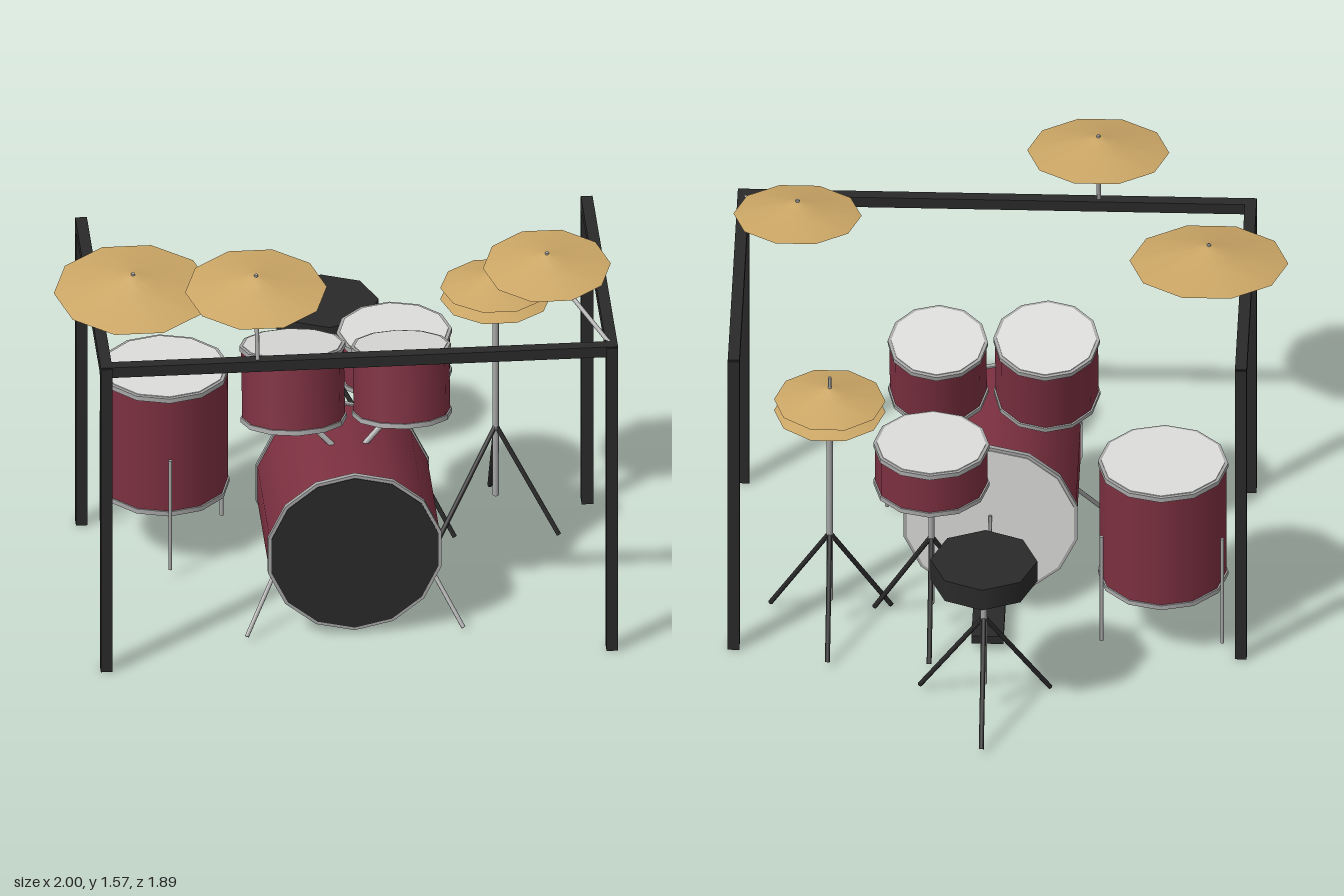
import * as THREE from 'three';

const mat = (name, color, side = THREE.FrontSide) => {
  const m = new THREE.MeshStandardMaterial({ color, side });
  m.name = name;
  return m;
};
const red = mat('burgundyShell', 0x7c3040);
const black = mat('black', 0x2a2a2a);
const white = mat('drumSkin', 0xdcdcda);
const chrome = mat('chrome', 0xa8a8a8);
const brass = mat('brass', 0xcca766, THREE.DoubleSide);

const V = (x, y, z) => new THREE.Vector3(x, y, z);

function add(parent, name, geometry, material, x = 0, y = 0, z = 0) {
  const m = new THREE.Mesh(geometry, material);
  m.name = name;
  m.position.set(x, y, z);
  parent.add(m);
  return m;
}

function group(parent, name, x = 0, y = 0, z = 0) {
  const g = new THREE.Group();
  g.name = name;
  g.position.set(x, y, z);
  parent.add(g);
  return g;
}

// Straight round bar between two points
function rod(parent, name, a, b, r, material) {
  const m = add(parent, name, new THREE.CylinderGeometry(r, r, a.distanceTo(b), 8), material);
  m.position.copy(a).lerp(b, 0.5);
  m.quaternion.setFromUnitVectors(V(0, 1, 0), b.clone().sub(a).normalize());
  return m;
}

// Upright drum about its own centre: shell, two hoops and two skins
function drum(parent, name, r, h, sides, topSkin, bottomSkin) {
  const g = group(parent, name);
  const hoop = 0.018;
  add(g, 'shell', new THREE.CylinderGeometry(r, r, h - hoop, sides), red);
  for (const s of [1, -1]) {
    add(g, 'hoop', new THREE.CylinderGeometry(r + 0.006, r + 0.006, hoop, sides), chrome, 0, s * (h - hoop) / 2, 0);
    add(g, 'skin', new THREE.CylinderGeometry(r - 0.006, r - 0.006, 0.006, sides),
      s > 0 ? topSkin : bottomSkin, 0, s * h / 2, 0);
  }
  return g;
}

// Ten-sided cymbal with a raised bell; the origin is at the rim plane
function cymbal(parent, name, r, h, tilt, x, y, z) {
  const g = group(parent, name, x, y, z);
  const profile = [[r, 0], [r * 0.36, h * 0.56], [r * 0.1, h * 0.93], [0.001, h]];
  const geo = new THREE.LatheGeometry(profile.map(p => new THREE.Vector2(...p)), 10);
  geo.rotateY(Math.PI / 2);
  add(g, 'plate', geo, brass);
  add(g, 'nut', new THREE.CylinderGeometry(0.007, 0.007, 0.012, 8), chrome, 0, h, 0);
  g.rotation.x = tilt;
  return g;
}

// Centre pole with three splayed legs, one pointing to the back
function tripod(parent, name, x, z, top, spread, poleRadius) {
  const g = group(parent, name, x, 0, z);
  rod(g, 'pole', V(0, 0.12, 0), V(0, top, 0), poleRadius, chrome);
  for (let i = 0; i < 3; i++) {
    const a = Math.PI + i * Math.PI * 2 / 3;
    rod(g, 'leg', V(0, 0.41, 0), V(Math.sin(a) * spread, 0.018, Math.cos(a) * spread), 0.009, black);
  }
  return g;
}

export function createModel() {
  const kit = new THREE.Group();
  kit.name = 'drumKit';

  // Rack frame
  const rack = group(kit, 'rack');
  const t = 0.042;
  for (const x of [-0.85, 0.97]) {
    for (const z of [0.77, -0.29]) add(rack, 'post', new THREE.BoxGeometry(t, 1.25, t), black, x, 0.625, z);
    add(rack, 'sideBar', new THREE.BoxGeometry(t, t, 1.09), black, x, 1.233, 0.24);
  }
  add(rack, 'frontBar', new THREE.BoxGeometry(1.86, t, t), black, 0.06, 1.233, 0.765);

  // Bass drum with spurs
  const bass = drum(kit, 'bassDrum', 0.314, 0.54, 14, black, white);
  bass.position.set(0.06, 0.333, 0.317);
  bass.rotation.x = Math.PI / 2;
  for (const s of [1, -1]) {
    rod(kit, 'bassSpur', V(0.06 + s * 0.28, 0.2, 0.48), V(0.06 + s * 0.39, 0.015, 0.605), 0.008, chrome);
    rod(kit, 'tomArm', V(0.06 + s * 0.04, 0.61, 0.325), V(0.06 + s * 0.165, 0.735, 0.285), 0.011, chrome);
  }

  // Bass pedal and beater
  add(kit, 'pedal', new THREE.BoxGeometry(0.115, 0.032, 0.31), black, 0.06, 0.042, -0.125);
  rod(kit, 'beater', V(0.06, 0.05, 0.003), V(0.06, 0.37, 0.03), 0.006, chrome);

  // Mounted toms, leaning back towards the seat
  for (const [x, y, r, h] of [[-0.135, 0.863, 0.185, 0.285], [0.255, 0.855, 0.174, 0.26]]) {
    const tom = drum(kit, 'mountedTom', r, h, 12, white, white);
    tom.position.set(x, y, 0.264);
    tom.rotation.x = -0.213;
  }

  // Floor tom on three legs
  drum(kit, 'floorTom', 0.228, 0.485, 12, white, white).position.set(-0.565, 0.482, -0.125);
  for (let i = 0; i < 3; i++) {
    const a = i * Math.PI * 2 / 3;
    const x = -0.565 + Math.sin(a) * 0.25, z = -0.125 + Math.cos(a) * 0.25;
    rod(kit, 'floorTomLeg', V(x, 0.03, z), V(x, 0.48, z), 0.007, chrome);
  }

  // Snare
  drum(kit, 'snare', 0.202, 0.18, 12, white, white).position.set(0.265, 0.722, -0.165);
  tripod(kit, 'snareStand', 0.265, -0.165, 0.635, 0.24, 0.011);

  // Hi-hat
  const hat = tripod(kit, 'hiHatStand', 0.63, -0.155, 0.95, 0.25, 0.011);
  rod(hat, 'rod', V(0, 0.94, 0), V(0, 1.085, 0), 0.006, chrome);
  for (const y of [0.938, 0.985]) cymbal(kit, 'hiHatCymbal', 0.2, 0.055, 0, 0.63, y, -0.155);

  // Cymbals on rack arms: radius, cymbal centre, arm foot
  for (const [r, c, foot] of [
    [0.255, [-0.305, 1.503, 0.7], [-0.305, 1.24, 0.77]],
    [0.23, [0.765, 1.392, 0.425], [0.965, 1.245, 0.745]],
    [0.285, [-0.715, 1.298, 0.31], [-0.85, 1.24, 0.31]],
  ]) {
    cymbal(kit, 'rackCymbal', r, r * 0.235, 0.1, ...c);
    rod(kit, 'cymbalArm', V(...foot), V(...c), 0.008, chrome);
  }

  // Throne
  tripod(kit, 'throneStand', 0.06, -0.67, 0.58, 0.27, 0.011);
  add(kit, 'throneSeat', new THREE.CylinderGeometry(0.192, 0.192, 0.087, 8), black, 0.06, 0.611, -0.67);

  return kit;
}
